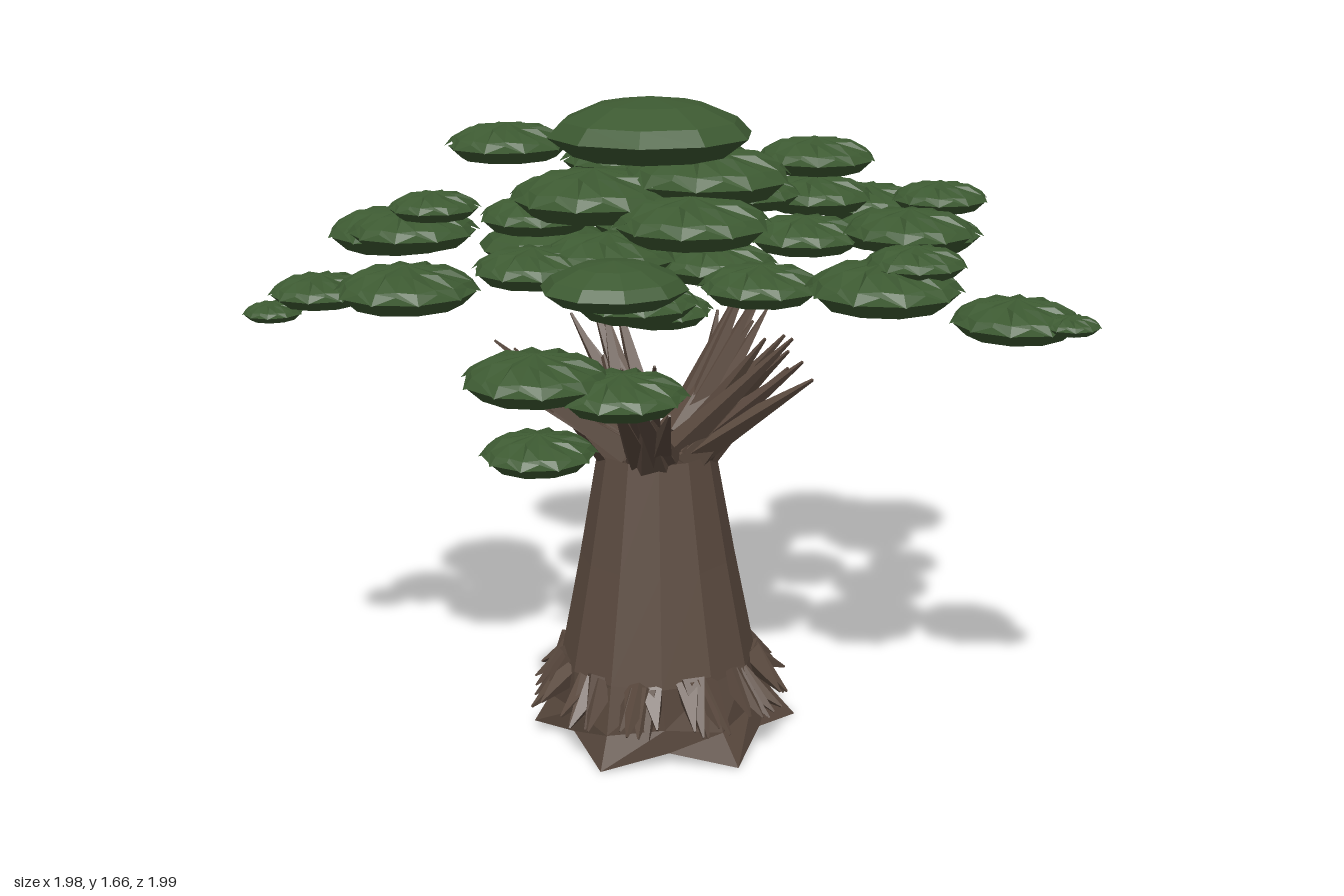
import * as THREE from 'three';

const bark = new THREE.MeshStandardMaterial({ color: 0x5c4b40, side: THREE.DoubleSide, flatShading: true });
bark.name = 'bark brown';
const leaf = new THREE.MeshStandardMaterial({ color: 0x3d5a32, side: THREE.DoubleSide, flatShading: true });
leaf.name = 'leaf green';

// Trunk axis
const CX = -0.12, CZ = 0.05;

let seed = 7;
const rnd = () => (seed = (seed * 16807) % 2147483647) / 2147483647;
const jit = (a) => (rnd() * 2 - 1) * a;
const around = (a, r, y) => new THREE.Vector3(CX + Math.cos(a) * r, y, CZ + Math.sin(a) * r);

function addGroup(parent, name) {
  const group = new THREE.Group();
  group.name = name;
  parent.add(group);
  return group;
}

function addMesh(parent, name, geometry, material) {
  const mesh = new THREE.Mesh(geometry, material);
  mesh.name = name;
  parent.add(mesh);
  return mesh;
}

// Tapered spike between two points
function spike(parent, name, a, b, r0, r1, sides = 4) {
  const dir = b.clone().sub(a);
  const mesh = addMesh(parent, name, new THREE.CylinderGeometry(r1, r0, dir.length(), sides), bark);
  mesh.position.copy(a).add(b).multiplyScalar(0.5);
  mesh.quaternion.setFromUnitVectors(new THREE.Vector3(0, 1, 0), dir.normalize());
}

// Faceted hollow trunk, open below, with a flared, star-like foot
function trunk(parent) {
  const heights = [0.025, 0.1, 0.22, 0.5, 0.78];
  const radii = [0.315, 0.28, 0.255, 0.2, 0.15];
  const flare = [0.035, 0.015, 0, 0, 0];
  const g = new THREE.CylinderGeometry(1, 1, 4, 12, 4, true);
  const p = g.attributes.position;
  for (let i = 0; i < p.count; i++) {
    const level = Math.round(p.getY(i) + 2);
    const x = p.getX(i), z = p.getZ(i);
    const wave = Math.cos(6 * Math.atan2(x, z));
    const r = radii[level] + flare[level] * wave;
    p.setXYZ(i, CX + x * r, heights[level] - flare[level] * wave * 0.5, CZ + z * r - flare[level]);
  }
  g.computeVertexNormals();
  addMesh(parent, 'trunk', g, bark);
}

// Separate tufts of chunky root spikes around the foot
function roots(parent) {
  const group = addGroup(parent, 'rootTufts');
  const tufts = 11;
  for (let i = 0; i < tufts; i++) {
    const a = (i / tufts) * Math.PI * 2 + 0.1;
    for (let j = -2; j <= 2; j++) {
      spike(group, 'rootSpike', around(a + j * 0.045, 0.235, 0.21 + jit(0.02)),
        around(a + j * 0.075, 0.33 + jit(0.025), 0.1 + Math.abs(j) * 0.015 + jit(0.02)), 0.04, 0.003);
    }
  }
}

// Five fans of bare branches, evenly turned about the trunk
function branches(parent) {
  const group = addGroup(parent, 'branches');
  for (let f = 0; f < 5; f++) {
    const a = -0.08 + (f / 5) * Math.PI * 2;
    const tip = around(a, 0.37, 1.07 - 0.04 * Math.sin(a));
    const base = around(a, 0.09, 0.78);
    spike(group, 'limb', base, base.clone().lerp(tip, 0.6), 0.07, 0.015, 6);
    for (let i = 0; i < 8; i++) {
      const start = base.clone().add(new THREE.Vector3(jit(0.04), jit(0.02), jit(0.04)));
      const end = tip.clone().add(new THREE.Vector3(jit(0.07), jit(0.06), jit(0.07)));
      spike(group, 'branch', start, end, 0.04, 0.004);
    }
  }
}

// Domed shell; unless smooth, its rim is notched and its top creased like a star
function dome(r, h, smooth) {
  const sides = smooth ? 10 : 20;
  const profile = [[1, 0], [0.86, 0.4], [0.5, 0.82], [0, 1]].map(([a, b]) => new THREE.Vector2(a * r, b * h));
  const g = new THREE.LatheGeometry(profile, sides);
  const p = g.attributes.position;
  const valley = [0.9, 0.97, 0.75, 1], ridge = [1.01, 1.03, 1.2, 1], lift = [0.3, 0.05, 0, 0];
  for (let i = 0; i < p.count && !smooth; i++) {
    const ring = i % 4;
    const notch = (Math.floor(i / 4) % sides) % 2;
    const pull = (notch ? valley : ridge)[ring];
    p.setXYZ(i, p.getX(i) * pull, p.getY(i) + notch * h * lift[ring], p.getZ(i) * pull);
  }
  g.computeVertexNormals();
  return g;
}

// Foliage pad: shallow flat-bottomed dish below, dome above
function pad(parent, x, z, r, y, smooth = false) {
  const group = addGroup(parent, 'foliagePad');
  const h = r * 0.55, under = h * 0.34;
  const dish = new THREE.CylinderGeometry(r * (smooth ? 1 : 0.95), r * 0.75, under, 10);
  addMesh(group, 'padUnderside', dish, leaf).position.y = under / 2;
  addMesh(group, 'padDome', dome(r, h - under, smooth), leaf).position.y = under;
  group.position.set(x, y, z);
  group.rotation.y = rnd() * Math.PI * 2;
}

// Outer pads by limb: x, z, radius, bottom height
const OUTER = {
  back: [[0.26, -0.82, 0.175, 1.18], [0.03, -0.6, 0.165, 1.41], [0.27, -0.54, 0.155, 1.24],
    [0.14, -0.7, 0.16, 1.28], [0.06, -0.53, 0.16, 1.32]],
  backRight: [[-0.7, -0.2, 0.17, 1.45], [-0.48, -0.45, 0.18, 1.39], [-0.6, -0.36, 0.18, 1.29]],
  frontRight: [[-0.76, 0.23, 0.18, 1.28], [-0.56, 0.48, 0.175, 1.2], [-0.84, 0.45, 0.13, 1.17],
    [-0.92, 0.54, 0.075, 1.14], [-0.62, 0.36, 0.16, 1.32], [-0.5, 0.44, 0.11, 1.41]],
  front: [[-0.1, 0.65, 0.17, 1.08], [0.04, 0.87, 0.125, 1.0], [0.08, 0.58, 0.15, 1.05]],
  left: [[0.51, -0.25, 0.12, 1.4], [0.52, 0.14, 0.185, 1.24], [0.78, -0.04, 0.155, 1.16],
    [0.92, 0, 0.07, 1.19], [0.5, -0.07, 0.16, 1.34], [0.58, 0.1, 0.12, 1.31]],
};

function foliage(parent) {
  const canopy = addGroup(parent, 'canopy');
  // smooth pads: crown, low back right, front
  pad(canopy, -0.13, 0.05, 0.255, 1.53, true);
  pad(canopy, -0.75, -0.47, 0.2, 1.12, true);
  pad(canopy, 0.12, 0.68, 0.16, 1.32, true);
  // outer pads
  for (const [limb, pads] of Object.entries(OUTER)) {
    const group = addGroup(canopy, limb + 'Foliage');
    for (const [x, z, r, y] of pads) pad(group, x, z, r, y);
  }
  // ring of pads around the crown, lowest toward the front
  const inner = addGroup(canopy, 'innerFoliage');
  for (let i = 0; i < 7; i++) {
    const a = 0.38 + (i / 7) * Math.PI * 2;
    const c = around(a, 0.35, 1.29 - 0.08 * Math.cos(a - 1.1));
    pad(inner, c.x + 0.02, c.z - 0.01, 0.15, c.y);
  }
  // spiral of layers under the crown
  for (let i = 0; i < 8; i++) {
    const c = around(1 + i * 2.4, 0.15, 1.15 + i * 0.038);
    pad(inner, c.x, c.z, 0.13 + i * 0.013, c.y);
  }
}

export function createModel() {
  seed = 7;
  const tree = new THREE.Group();
  tree.name = 'tree';
  trunk(tree);
  roots(tree);
  branches(tree);
  foliage(tree);
  return tree;
}
